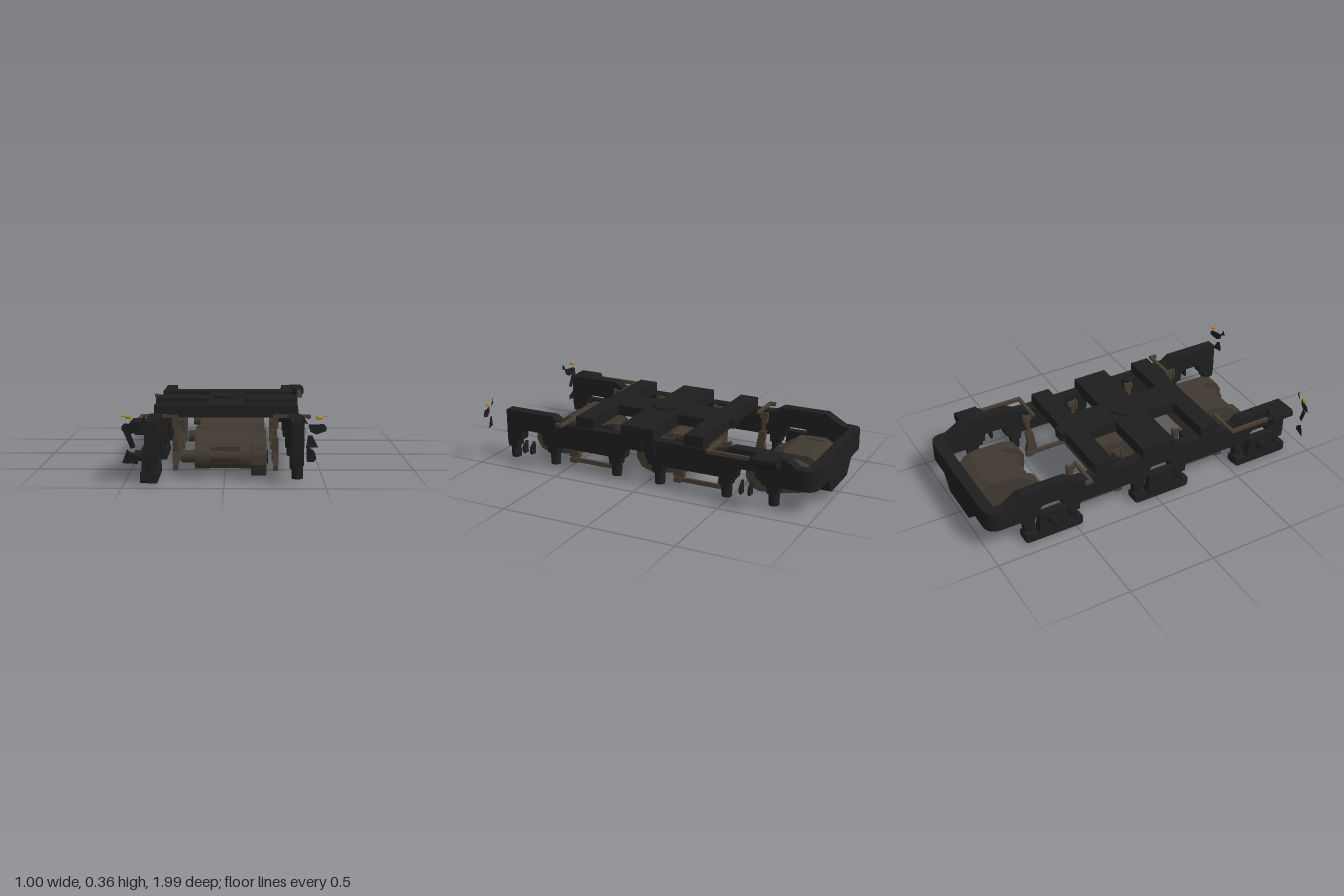
import * as THREE from 'three';

const mat = (name, color, side = THREE.FrontSide) => {
  const m = new THREE.MeshStandardMaterial({ color, side });
  m.name = name;
  return m;
};

export function createModel() {
  const dark = mat('frameBlack', 0x1e1e1e);
  const plate = mat('plateBlack', 0x1d1d1d, THREE.DoubleSide);
  const brown = mat('motorBrown', 0x3f3830);
  const rust = mat('brakeBrown', 0x463c32);
  const brass = mat('brass', 0xb08a32);
  const root = new THREE.Group();
  root.name = 'truck';

  const add = (name, geo, m, parent = root) => {
    const mesh = new THREE.Mesh(geo, m);
    mesh.name = name;
    parent.add(mesh);
    return mesh;
  };
  const shapeOf = pts => new THREE.Shape(pts.map(p => new THREE.Vector2(p[0], p[1])));
  // box given by its extents
  const box = (name, m, x0, x1, y0, y1, z0, z1, parent) => add(name,
    new THREE.BoxGeometry(x1 - x0, y1 - y0, z1 - z0)
      .translate((x0 + x1) / 2, (y0 + y1) / 2, (z0 + z1) / 2), m, parent);
  // side profile in (z, y), extruded from x0 to x1
  const profile = (name, m, pts, x0, x1, parent) => add(name,
    new THREE.ExtrudeGeometry(shapeOf(pts), { depth: x1 - x0, bevelEnabled: false })
      .rotateY(-Math.PI / 2).translate(x1, 0, 0), m, parent);
  // front outline in (x, y), extruded from z0 to z1
  const outline = (name, m, pts, z0, z1, parent) => add(name,
    new THREE.ExtrudeGeometry(shapeOf(pts), { depth: z1 - z0, bevelEnabled: false })
      .translate(0, 0, z0), m, parent);
  const cylX = (name, m, r, x0, x1, y, z, parent) => add(name,
    new THREE.CylinderGeometry(r, r, x1 - x0, 24).rotateZ(Math.PI / 2)
      .translate((x0 + x1) / 2, y, z), m, parent);
  const axles = [0.71, 0.04, -0.63];

  // side frames with a stepped opening and two legs at each axle
  const side = [[-0.92, 0.135], [-0.92, 0.25], [-0.9, 0.25], [-0.8, 0.31], [-0.53, 0.31], [-0.48, 0.28],
    [-0.38, 0.275], [0.44, 0.275], [0.53, 0.28], [0.57, 0.31], [0.88, 0.31]];
  for (const c of axles) {
    side.push([c + 0.17, 0.135], [c + 0.165, 0.09], [c + 0.105, 0.09], [c + 0.1, 0.13], [c + 0.075, 0.135],
      [c + 0.065, 0.19], [c + 0.05, 0.2], [c - 0.05, 0.2], [c - 0.065, 0.19], [c - 0.075, 0.135],
      [c - 0.1, 0.13], [c - 0.105, 0.09], [c - 0.165, 0.09], [c - 0.17, 0.135]);
  }
  for (const s of [-1, 1]) {
    profile('sideFrame', dark, side, s < 0 ? -0.397 : 0.333, s < 0 ? -0.333 : 0.397);
    for (const c of axles) for (const d of [-0.135, 0.135]) {
      add('pedestalLeg', new THREE.CylinderGeometry(0.03, 0.028, 0.08, 16)
        .translate(s * 0.365, 0.062, c + d), dark);
    }
  }

  // rounded rear end of the frame
  const bar = new THREE.Shape();
  bar.moveTo(0.397, 0.9);
  bar.lineTo(0.397, 0.92);
  bar.quadraticCurveTo(0.397, 1, 0.317, 1);
  bar.lineTo(-0.317, 1);
  bar.quadraticCurveTo(-0.397, 1, -0.397, 0.92);
  bar.lineTo(-0.397, 0.9);
  bar.lineTo(-0.333, 0.9);
  bar.lineTo(-0.333, 0.937);
  bar.lineTo(0.333, 0.937);
  bar.lineTo(0.333, 0.9);
  add('rearBar', new THREE.ExtrudeGeometry(bar, { depth: 0.115, bevelEnabled: false })
    .rotateX(-Math.PI / 2).translate(0, 0.135, 0), dark);
  outline('rearMotorBracket', dark, [[-0.2, 0.14], [-0.13, 0.05], [0.13, 0.05], [0.2, 0.14]], -1, -0.937);

  // transoms and spine
  box('rearTransom', dark, -0.385, 0.385, 0.27, 0.334, -0.36, -0.25);
  box('frontTransom', dark, -0.385, 0.385, 0.27, 0.334, 0.31, 0.42);
  box('centreTransom', dark, -0.398, 0.398, 0.265, 0.335, -0.07, 0.13);
  box('spine', dark, -0.1, 0.1, 0.272, 0.333, -0.36, 0.42);
  add('spineNose', new THREE.ExtrudeGeometry(shapeOf([[-0.045, 0.35], [0.045, 0.35], [0.03, 0.387], [-0.03, 0.387]]),
    { depth: 0.055, bevelEnabled: false }).rotateX(-Math.PI / 2).translate(0, 0.275, 0), dark);
  box('pivot', dark, -0.032, 0.032, 0.245, 0.275, -0.03, 0.09);
  add('centrePlate', new THREE.CylinderGeometry(0.082, 0.082, 0.012, 32).translate(0, 0.34, 0.04), dark);

  // wedge brackets inside the side frames
  for (const s of [-1, 1]) for (const z of [-0.21, 0.265]) {
    const d = Math.sign(z);
    const wedge = [[s * 0.335, -z - 0.04], [s * 0.335, -z + 0.04], [s * 0.28, -z + d * 0.03], [s * 0.28, -z + d * 0.005]];
    add('frameBracket', new THREE.ExtrudeGeometry(shapeOf(wedge), { depth: 0.055, bevelEnabled: false })
      .rotateX(-Math.PI / 2).translate(0, 0.225, 0), dark);
  }

  // traction motors, all facing the same way
  const body = [[-0.31, 0.09], [-0.31, 0.2], [-0.24, 0.235], [-0.09, 0.235], [0, 0.175],
    [0.015, 0.16], [0.015, 0.08], [-0.02, 0.045], [-0.22, 0.045]];
  const gear = [[-0.27, 0.07], [-0.27, 0.15], [-0.24, 0.19], [-0.18, 0.21], [0, 0.205], [0.06, 0.18],
    [0.09, 0.13], [0.09, 0.08], [0.06, 0.03], [0.01, 0.012], [-0.1, 0.02], [-0.22, 0.045]];
  for (const z of axles) {
    const motor = new THREE.Group();
    motor.name = 'tractionMotor';
    motor.position.z = z;
    root.add(motor);
    profile('motorBody', brown, body, -0.153, 0.153, motor);
    profile('gearCase', brown, gear, 0.135, 0.212, motor);
    cylX('axleTube', brown, 0.032, -0.22, 0.218, 0.11, 0, motor);
    cylX('leftAxleCap', brown, 0.062, 0.075, 0.14, 0.108, 0, motor);
    cylX('rightAxleCap', brown, 0.062, -0.152, -0.075, 0.108, 0, motor);
    box('motorHatch', brown, -0.15, -0.1, 0.232, 0.239, -0.24, -0.14, motor);
    cylX('axleEnd', dark, 0.036, 0.216, 0.221, 0.11, 0, motor);
  }

  // long shoes below the right side frame, and axle sensors
  const shoe = [[-0.17, 0.01], [-0.155, 0], [0.155, 0], [0.17, 0.01], [0.17, 0.055], [0.14, 0.055],
    [0.13, 0.04], [0.09, 0.04], [0.08, 0.16], [-0.08, 0.16], [-0.09, 0.04], [-0.13, 0.04],
    [-0.14, 0.055], [-0.17, 0.055]];
  for (const z of axles) {
    profile('pedestalShoe', dark, shoe, -0.42, -0.375).position.z = z;
    box('pedestalTie', dark, -0.38, -0.335, 0, 0.04, z - 0.165, z + 0.165);
  }
  for (const z of [0.7, -0.64]) {
    cylX('axleSensor', dark, 0.028, -0.46, -0.415, 0.11, z);
    cylX('sensorPlug', dark, 0.016, -0.495, -0.45, 0.11, z);
  }
  const tab = [[0.42, 0.085], [0.455, 0.085], [0.467, 0.105], [0.46, 0.13], [0.43, 0.155], [0.42, 0.155]];
  for (const z of [0.68, 0.73, -0.61, -0.66]) outline('sensorTab', dark, tab, z - 0.006, z + 0.006);
  for (const z of [0.01, -0.07]) box('frameTab', dark, 0.39, 0.408, 0.2, 0.26, z - 0.015, z + 0.015);

  // brake rigging: two hangers with shoes joined along the bottom
  for (const s of [-1, 1]) for (const z of [0.37, -0.3]) {
    const rig = new THREE.Group();
    rig.name = 'brakeRigging';
    rig.position.set(s * 0.265, 0, z);
    root.add(rig);
    for (const d of [-1, 1]) {
      const e = d * 0.145;
      box('hanger', rust, -0.006, 0.006, 0.01, 0.28, e - 0.01, e + 0.01, rig);
      box('hangerTop', rust, -0.015, 0.015, 0.23, 0.29, d * 0.165 - 0.005, d * 0.165 + 0.005, rig);
      box('hangerLink', rust, -0.008, 0.008, 0.255, 0.285, e - 0.03, e + 0.02, rig);
      const shoeSide = [[e - d * 0.045, 0.04], [e + d * 0.025, 0.04], [e + d * 0.01, 0.1],
        [e + d * 0.02, 0.175], [e - d * 0.02, 0.175]];
      profile('brakeShoe', rust, shoeSide, -0.015, 0.015, rig);
      box('hangerFoot', rust, -0.013, 0.013, 0.002, 0.03, e - 0.022, e + 0.022, rig);
    }
    box('pullRod', rust, -0.008, 0.008, 0.008, 0.032, -0.14, 0.14, rig);
  }

  // brake cross levers, push rods and cylinders on opposite corners
  for (const s of [-1, 1]) {
    for (const z of [0.485, -0.415]) {
      box('crossLever', rust, s * 0.35 - 0.1, s * 0.35 + 0.1, 0.278, 0.294, z - 0.009, z + 0.009);
      const out = Math.sign(z);
      const end = z + out * (out === -s ? 0.27 : 0.035);
      box('pushRod', rust, s * 0.44 - 0.009, s * 0.44 + 0.009, 0.276, 0.296, Math.min(z, end), Math.max(z, end));
    }
    const c = s < 0 ? 0.815 : -0.745;
    const casing = [[0.385, 0.245], [0.44, 0.245], [0.474, 0.275], [0.474, 0.3], [0.46, 0.313], [0.385, 0.313]];
    const cylinder = outline('brakeCylinder', dark, casing, -0.065, 0.065);
    cylinder.position.z = c;
    cylinder.rotation.z = 0;
    if (s < 0) cylinder.geometry.rotateY(Math.PI);
    const neck = add('cylinderNeck', new THREE.CylinderGeometry(0.034, 0.014, 0.03, 16)
      .rotateX(Math.PI / 2), dark);
    neck.position.set(s * 0.437, 0.28, c - s * -0.08);
    if (s > 0) neck.rotation.y = Math.PI;
  }

  // thin upright guard plates at the front corners, turned slightly outward
  const guard = (s, z, pts) => {
    const geo = new THREE.ShapeGeometry(shapeOf(pts));
    const pos = geo.attributes.position;
    for (let i = 0; i < pos.count; i++) {
      pos.setZ(i, z + 0.25 * (0.46 - pos.getX(i)));
      pos.setX(i, s * pos.getX(i));
    }
    geo.computeVertexNormals();
    add('guardPlate', geo, plate);
  };
  for (const s of [-1, 1]) {
    guard(s, 0.965, [[0.41, 0.315], [0.385, 0.36], [0.378, 0.325]]);
    guard(s, 0.975, [[0.41, 0.315], [0.485, 0.315], [0.5, 0.3], [0.5, 0.28], [0.45, 0.265], [0.42, 0.28]]);
  }
  guard(1, 0.965, [[0.43, 0.26], [0.46, 0.2], [0.4, 0.2], [0.41, 0.26]]);
  guard(-1, 0.965, [[0.495, 0.28], [0.46, 0.28], [0.43, 0.2], [0.455, 0.19]]);
  guard(-1, 0.955, [[0.475, 0.185], [0.5, 0.115], [0.42, 0.115], [0.42, 0.14]]);

  // small brass nozzles with a thin wire
  for (const s of [-1, 1]) {
    const nozzle = add('nozzle', new THREE.CylinderGeometry(0.01, 0.01, 0.025, 12).rotateZ(Math.PI / 2), brass);
    nozzle.position.set(s * 0.465, 0.346, 0.962);
    nozzle.rotation.y = s * 0.35;
    const wire = add('nozzleWire', new THREE.CylinderGeometry(0.002, 0.002, 0.03, 6).rotateZ(Math.PI / 2), brass);
    wire.position.set(s * 0.487, 0.35, 0.953);
    wire.rotation.y = s * 0.35;
  }
  return root;
}
